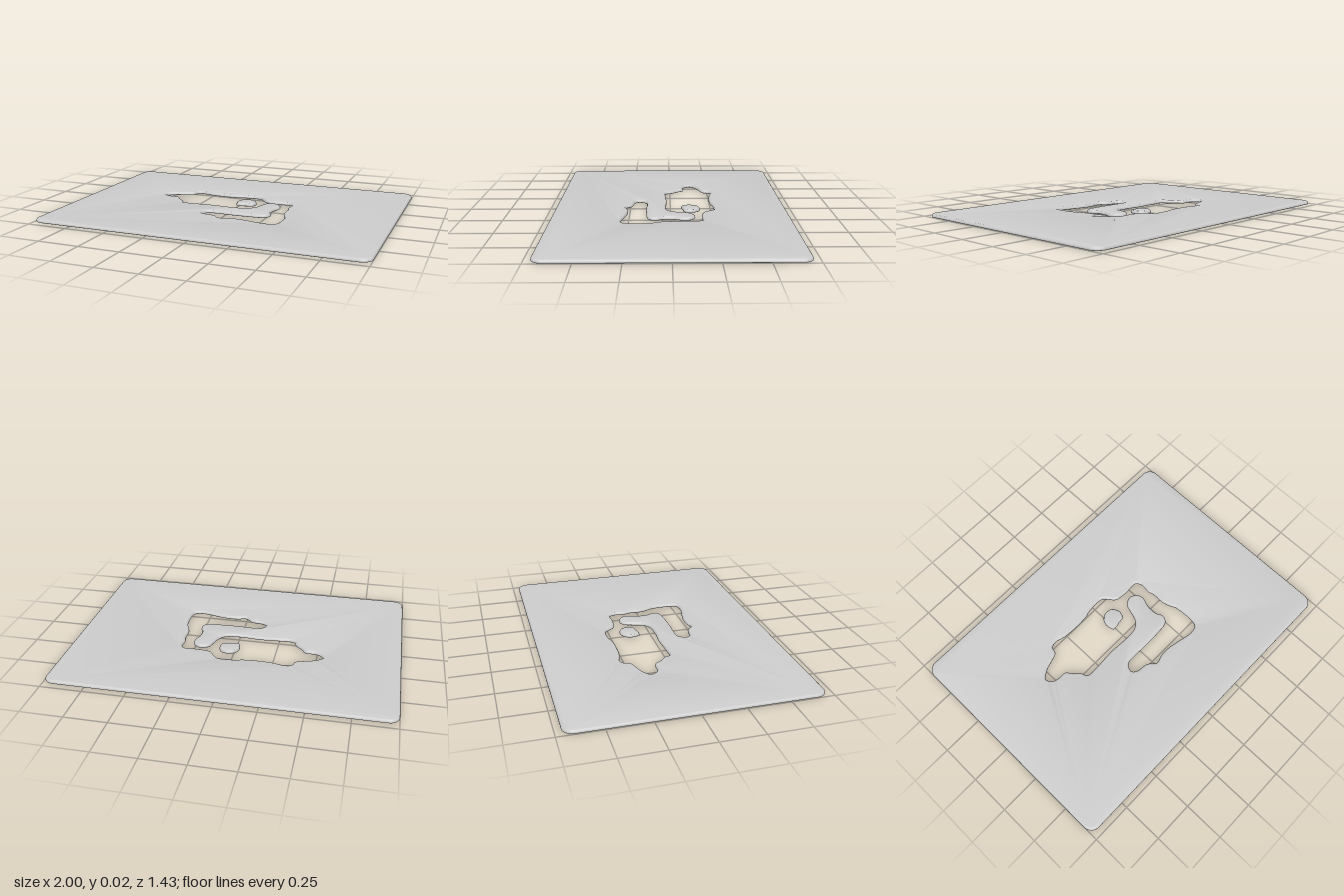
import * as THREE from 'three';
import { toCreasedNormals } from 'three/addons/utils/BufferGeometryUtils.js';

const HALF_X = 1, HALF_Z = 0.713, CORNER = 0.06;
const material = new THREE.MeshStandardMaterial({ color: 0xcccccc, side: THREE.DoubleSide });

// Smooth closed outline through [x, z] points, in shape space (y = -z)
function smoothOutline(points) {
  const curve = new THREE.CatmullRomCurve3(
    points.map(([x, z]) => new THREE.Vector3(x, -z, 0)), true, 'centripetal');
  return curve.getPoints(points.length * 4).slice(0, -1).map(p => new THREE.Vector2(p.x, p.y));
}

// Thin slab: rounded upper rim, almost sharp lower rim
function slab(shape, name, rim) {
  const geometry = new THREE.ExtrudeGeometry(shape, {
    depth: 0.003, bevelThickness: 0.015, bevelSize: rim, bevelOffset: -rim,
    bevelSegments: 5, curveSegments: 8,
  });
  geometry.rotateX(-Math.PI / 2);
  const pos = geometry.attributes.position;
  for (let i = 0; i < pos.count; i++) {
    const y = pos.getY(i);
    pos.setY(i, 0.004 + (y < 0 ? y * 0.004 / 0.015 : y));
  }
  const mesh = new THREE.Mesh(toCreasedNormals(geometry, 0.6), material);
  mesh.name = name;
  return mesh;
}

function roundedRectangle(w, h, r) {
  const s = new THREE.Shape();
  s.absarc(w - r, h - r, r, 0, Math.PI / 2);
  s.absarc(-w + r, h - r, r, Math.PI / 2, Math.PI);
  s.absarc(-w + r, -h + r, r, Math.PI, Math.PI * 1.5);
  s.absarc(w - r, -h + r, r, Math.PI * 1.5, Math.PI * 2);
  s.closePath();
  return s;
}

// Irregular opening: broad body, then a hooked channel on the right
const opening = [
  [-0.54, -0.14], [-0.49, -0.18], [-0.43, -0.2], [-0.38, -0.22], [-0.365, -0.26], [-0.33, -0.272],
  [-0.26, -0.256], [-0.16, -0.25], [-0.07, -0.256], [-0.03, -0.267], [0.08, -0.267], [0.11, -0.235],
  [0.14, -0.2], [0.22, -0.187], [0.31, -0.187], [0.33, -0.15], [0.325, -0.09], [0.335, -0.05],
  [0.335, 0.03], [0.35, 0.08], [0.367, 0.12], [0.37, 0.25], [0.355, 0.285], [0.3, 0.296],
  [0.22, 0.28], [0.14, 0.264], [0.07, 0.264], [0.01, 0.278], [-0.035, 0.24], [-0.115, 0.225],
  [-0.137, 0.2], [-0.115, 0.155], [-0.06, 0.147], [0.03, 0.15], [0.16, 0.147], [0.24, 0.137],
  [0.265, 0.11], [0.265, 0.08], [0.25, 0.05], [0.25, -0.02], [0.27, -0.08], [0.26, -0.12],
  [0.217, -0.147], [0.165, -0.127], [0.147, -0.08], [0.125, -0.016], [0.083, 0.02], [0, 0.03],
  [-0.13, 0.023], [-0.26, 0.03], [-0.345, 0.026], [-0.36, -0.01], [-0.4, -0.05], [-0.425, -0.085],
  [-0.49, -0.09], [-0.52, -0.105],
];

// Loose pebble-shaped piece inside the opening
const island = [
  [-0.025, -0.13], [-0.008, -0.165], [0.03, -0.183], [0.075, -0.173], [0.098, -0.13],
  [0.087, -0.085], [0.05, -0.078], [0.015, -0.07], [-0.012, -0.07], [-0.024, -0.1],
];

export function createModel() {
  const model = new THREE.Group();
  model.name = 'cutoutPlate';

  const plate = roundedRectangle(HALF_X, HALF_Z, CORNER);
  plate.holes.push(new THREE.Path(smoothOutline(opening)));
  model.add(slab(plate, 'plate', 0.015));

  model.add(slab(new THREE.Shape(smoothOutline(island)), 'island', 0.012));
  return model;
}
